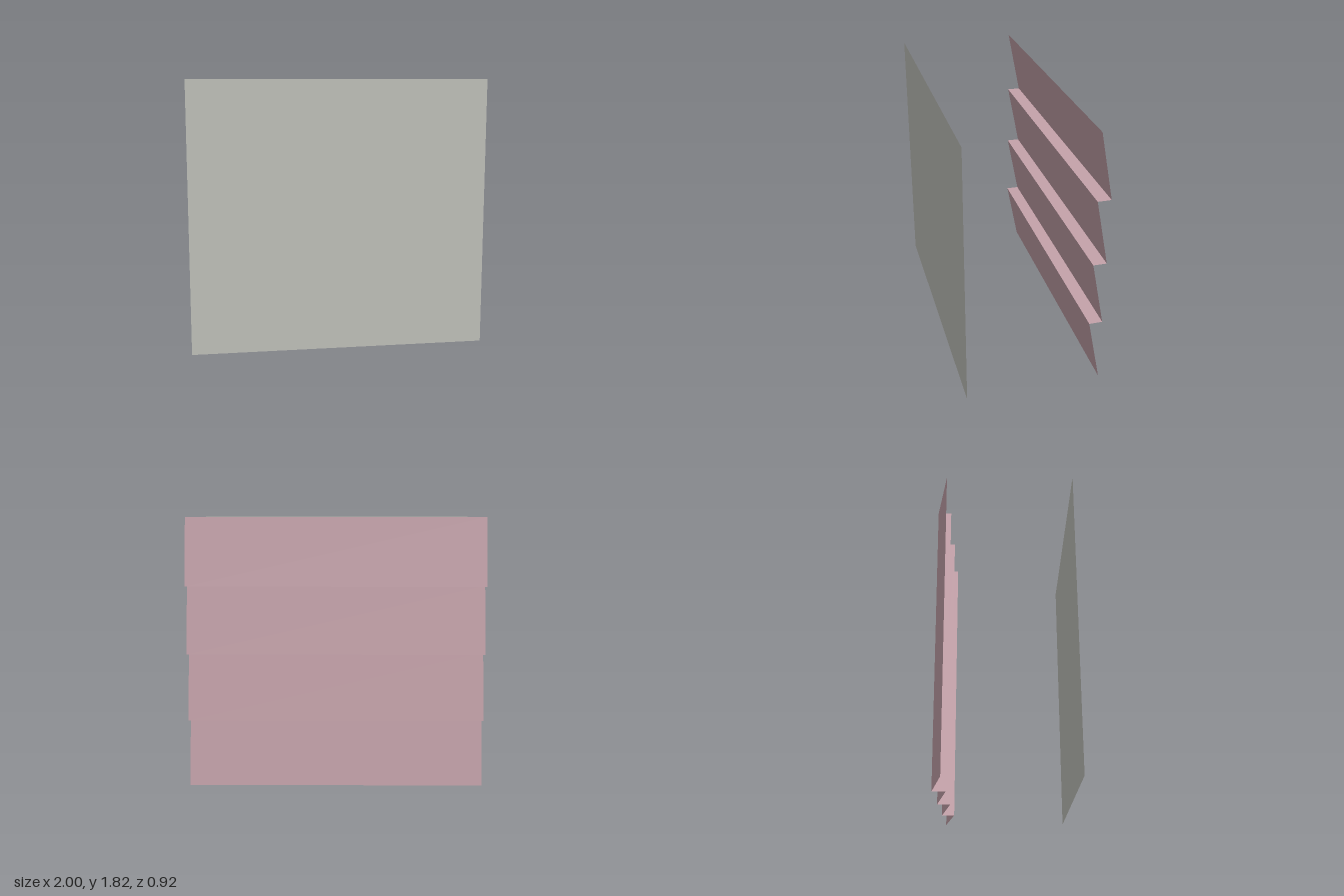
import * as THREE from 'three';

const WIDTH = 2, HEIGHT = 1.82, BOARDS = 4;
const INNER_Z = -0.37, OUTER_Z = -0.46, PANEL_Z = 0.46;

// Flat strip spanning the full width, between two (y, z) profile points
function strip(name, [y0, z0], [y1, z1], material) {
  const dy = y1 - y0, dz = z1 - z0;
  const geometry = new THREE.PlaneGeometry(WIDTH, Math.hypot(dy, dz));
  geometry.rotateX(Math.atan2(dz, dy));
  const mesh = new THREE.Mesh(geometry, material);
  mesh.position.set(0, (y0 + y1) / 2, (z0 + z1) / 2);
  mesh.name = name;
  return mesh;
}

export function createModel() {
  const model = new THREE.Group();
  model.name = 'wallSection';
  const grey = new THREE.MeshStandardMaterial({ color: 0xc5c6bf, side: THREE.DoubleSide });
  grey.name = 'warm grey';
  const mauve = new THREE.MeshStandardMaterial({ color: 0xc5a2aa, side: THREE.DoubleSide });
  mauve.name = 'dusty mauve';

  // Plain inner wall face
  model.add(strip('innerPanel', [0, PANEL_Z], [HEIGHT, PANEL_Z], grey));

  // Overlapping boards lean inwards to the top, with a ledge under each upper board
  const siding = new THREE.Group();
  siding.name = 'siding';
  const step = HEIGHT / BOARDS;
  for (let i = 0; i < BOARDS; i++) {
    const y = i * step;
    siding.add(strip('board', [y + step, INNER_Z], [y, OUTER_Z], mauve));
    if (i > 0) siding.add(strip('ledge', [y, OUTER_Z], [y, INNER_Z], mauve));
  }
  model.add(siding);
  return model;
}
